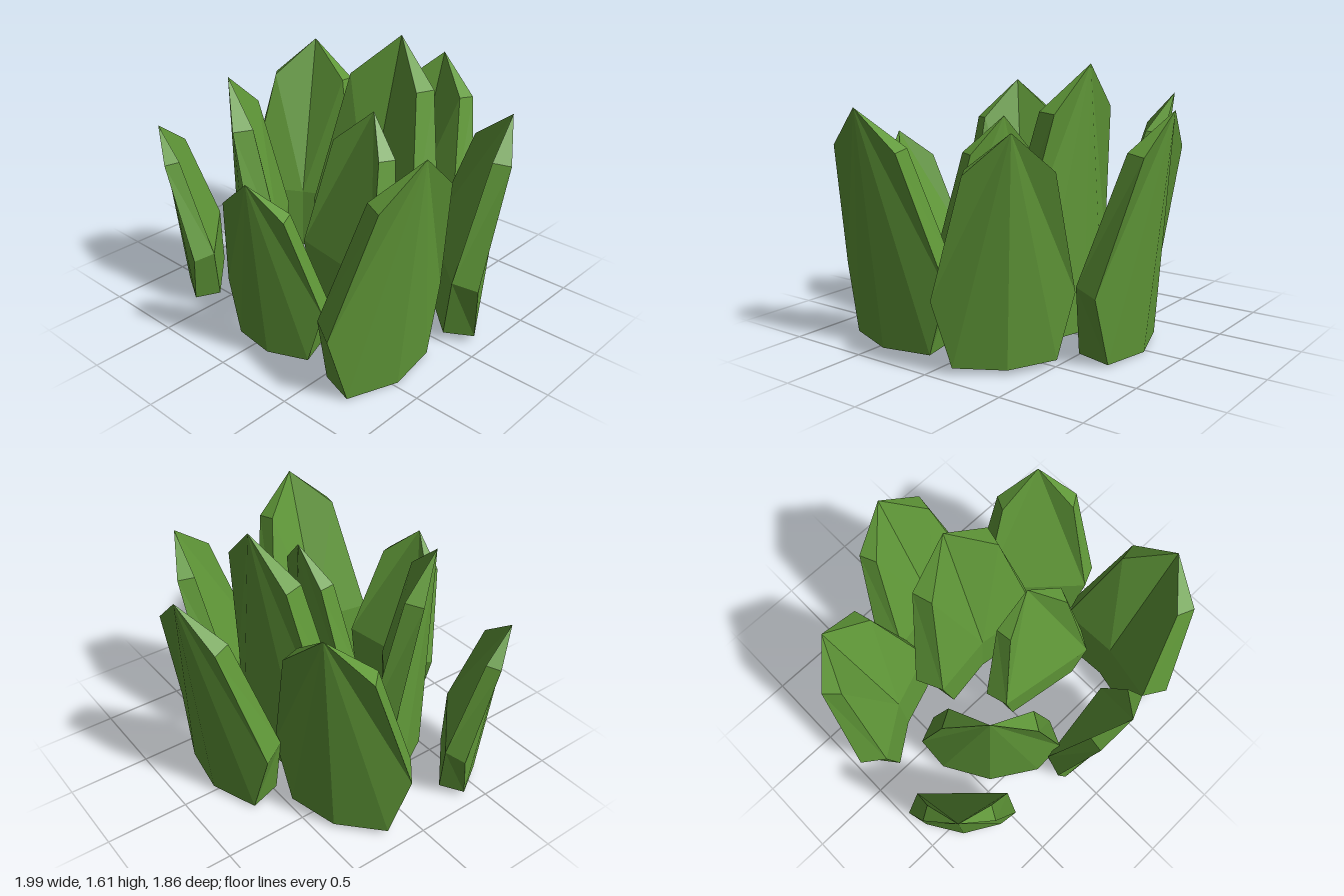
import * as THREE from 'three';

// Half of one leaf blade: x sideways, y up, z outward. The other half is mirrored.
const POINTS = {
  tip: [0, 1.39, 0.99],
  shoulder: [0.26, 1.16, 0.93],
  shoulderIn: [0.23, 1.175, 0.82],
  wideOut: [0.425, 0.41, 0.74],
  wideIn: [0.36, 0.44, 0.59],
  midIn: [0, 0.42, 0.64],
  footOut: [0.31, 0.01, 0.765],
  footMidOut: [0, 0, 0.84],
  footIn: [0.28, 0.03, 0.57],
  footMidIn: [0, 0.03, 0.61],
};

// Faces shared by all leaves; the foot is open
const SHELL = [
  // outer face, a fan from the tip
  ['tip', 'wideOut', 'shoulder'], ['tip', 'footOut', 'wideOut'], ['tip', 'footMidOut', 'footOut'],
  // side edge
  ['tip', 'shoulder', 'shoulderIn'], ['shoulder', 'wideIn', 'shoulderIn'], ['shoulder', 'wideOut', 'wideIn'],
  ['wideOut', 'footOut', 'wideIn'], ['footOut', 'footIn', 'wideIn'],
  // lower inner face
  ['midIn', 'wideIn', 'footIn'], ['midIn', 'footIn', 'footMidIn'],
];

// Upper inner face: hollowed on the large leaves, flat on the small ones
const HOLLOW_TOP = [['tip', 'shoulderIn', 'midIn'], ['shoulderIn', 'wideIn', 'midIn']];
const FLAT_TOP = [['tip', 'shoulderIn', 'wideIn'], ['tip', 'wideIn', 'midIn']];

// Faceted blade with its tip at the origin
function leafGeometry(flat) {
  const points = flat
    ? { ...POINTS, midIn: [0, 0.44, 0.59], footMidIn: [0, 0.03, 0.57] }
    : POINTS;
  const faces = [...SHELL, ...(flat ? FLAT_TOP : HOLLOW_TOP)];
  const pos = [];
  for (const side of [1, -1]) {
    for (const face of faces) {
      const order = side > 0 ? face : [...face].reverse();
      for (const name of order) {
        const [x, y, z] = points[name];
        pos.push(x * side, y - points.tip[1], z - points.tip[2]);
      }
    }
  }
  const geo = new THREE.BufferGeometry();
  geo.setAttribute('position', new THREE.Float32BufferAttribute(pos, 3));
  geo.computeVertexNormals();
  return geo;
}

// Tip position, outward heading and lean in degrees, size
const LEAVES = [
  { name: 'backLeaf', tip: [0.02, 1.38, -0.93], heading: 185, lean: 0, size: 0.99 },
  { name: 'tallLeaf', tip: [0.07, 1.61, -0.43], heading: 180, lean: -5, size: 1.11 },
  { name: 'backRightLeaf', tip: [-0.74, 1.40, -0.53], heading: 208, lean: 0, size: 0.99 },
  { name: 'innerRightLeaf', tip: [-0.455, 1.455, 0.47], heading: -46, lean: -5.4, size: 1.0 },
  { name: 'innerFrontLeaf', tip: [0.26, 1.31, 0.03], heading: 171, lean: -5.5, size: 0.88, flat: true },
  { name: 'backLeftLeaf', tip: [0.85, 1.31, -0.47], heading: 138, lean: 0, size: 0.92, flat: true },
  { name: 'frontRightLeaf', tip: [-0.885, 1.10, 0.67], heading: -44, lean: 0, size: 0.77, flat: true },
  { name: 'frontLeaf', tip: [0.185, 1.15, 0.93], heading: 8, lean: 0, size: 0.785, flat: true },
  { name: 'leftLeaf', tip: [0.99, 1.39, 0.48], heading: 85, lean: 0, size: 1.0 },
];

export function createModel() {
  const group = new THREE.Group();
  group.name = 'leafCluster';
  const green = new THREE.MeshStandardMaterial({ color: 0x609838, side: THREE.DoubleSide });
  green.name = 'leafGreen';
  const hollowLeaf = leafGeometry(false);
  const flatLeaf = leafGeometry(true);

  for (const { name, tip, heading, lean, size, flat } of LEAVES) {
    const leaf = new THREE.Mesh(flat ? flatLeaf : hollowLeaf, green);
    leaf.name = name;
    leaf.rotation.order = 'YXZ';
    leaf.rotation.set(THREE.MathUtils.degToRad(lean), THREE.MathUtils.degToRad(heading), 0);
    leaf.scale.setScalar(size);
    leaf.position.set(...tip);
    group.add(leaf);
  }
  return group;
}
